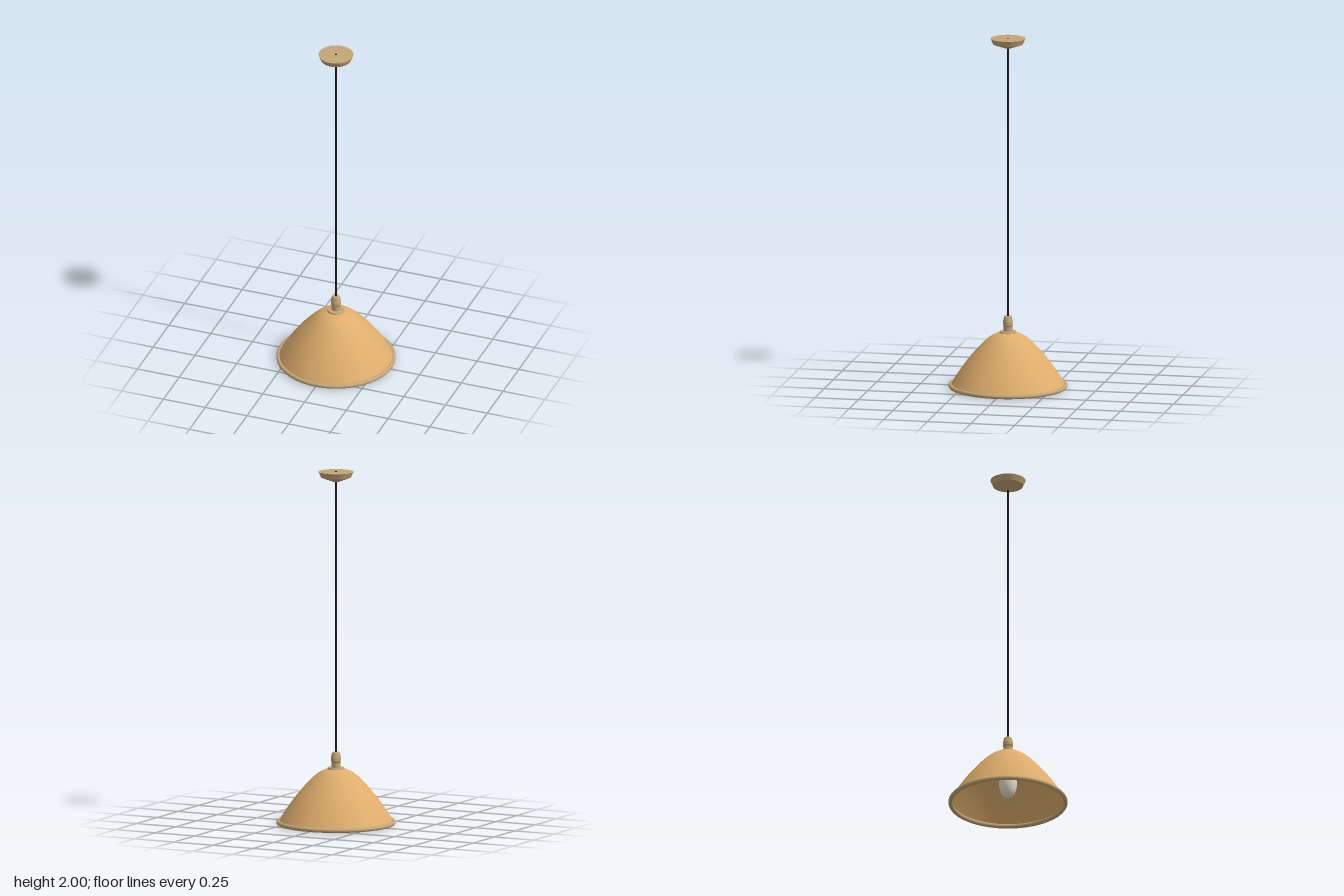
import * as THREE from 'three';

const material = (name, color, side = THREE.FrontSide) => {
  const m = new THREE.MeshStandardMaterial({ color, side });
  m.name = name;
  return m;
};

export function createModel() {
  const amber = material('amber shade', 0xdfae6c, THREE.DoubleSide);
  const brass = material('brushed brass', 0xc4a577);
  const black = material('black cord', 0x1c1a1a);
  const glass = material('bulb glass', 0xe6dfd2);

  const group = new THREE.Group();
  group.name = 'pendantLamp';

  const add = (name, geometry, mat, y = 0) => {
    const mesh = new THREE.Mesh(geometry, mat);
    mesh.name = name;
    mesh.position.y = y;
    group.add(mesh);
    return mesh;
  };
  const points = (list) => list.map(([r, y]) => new THREE.Vector2(r, y));
  // Smoothly curved profile, listed from bottom to top
  const smoothLathe = (list, steps) =>
    new THREE.LatheGeometry(new THREE.SplineCurve(points(list)).getPoints(steps), 64);
  // Straight profile with a sharp ring at every point
  const sharpLathe = (name, list, mat) => {
    for (let i = 0; i < list.length - 1; i++) {
      add(name + (i + 1), new THREE.LatheGeometry(points([list[i], list[i + 1]]), 48), mat);
    }
  };

  // Open bell-shaped shade
  add('shade', smoothLathe([
    [0.322, 0.015], [0.285, 0.075], [0.24, 0.14], [0.19, 0.202],
    [0.14, 0.256], [0.095, 0.294], [0.05, 0.314], [0.015, 0.318],
  ], 32), amber);

  // Rolled rim around the opening
  const rim = add('rim', new THREE.TorusGeometry(0.322, 0.0125, 16, 96), brass, 0.0125);
  rim.rotation.x = Math.PI / 2;

  // Collar and turned lamp holder above the shade
  add('collar', new THREE.CylinderGeometry(0.046, 0.05, 0.012, 48), brass, 0.317);
  sharpLathe('holder', [
    [0.024, 0.32], [0.024, 0.35], [0.029, 0.358], [0.029, 0.376],
    [0.022, 0.405], [0.018, 0.41], [0, 0.41],
  ], brass);

  // Socket and bulb under the shade
  add('socket', new THREE.CylinderGeometry(0.026, 0.026, 0.09, 32), brass, 0.268);
  add('bulb', smoothLathe([
    [0, 0.04], [0.026, 0.051], [0.043, 0.08], [0.051, 0.125],
    [0.046, 0.165], [0.033, 0.2], [0.024, 0.235],
  ], 28), glass);

  // Cord, reaching the top of the canopy
  add('cord', new THREE.CylinderGeometry(0.0055, 0.0055, 1.6, 16), black, 1.2);

  // Ceiling canopy
  sharpLathe('canopy', [
    [0, 1.938], [0.012, 1.94], [0.084, 1.966], [0.098, 1.998], [0, 1.998],
  ], brass);

  return group;
}
